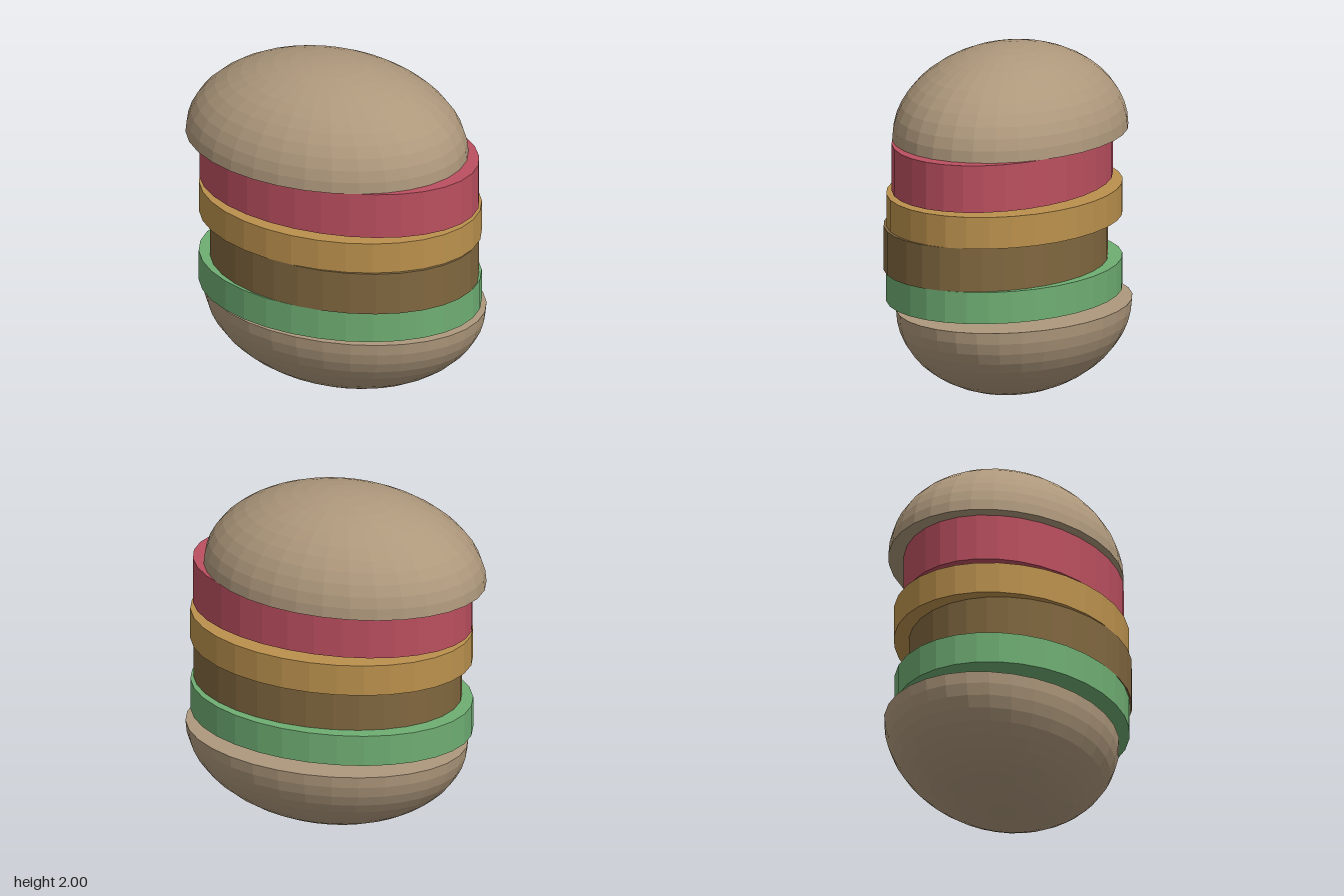
import * as THREE from 'three';

const SEGMENTS = 32;

function material(color) {
  return new THREE.MeshStandardMaterial({ color, flatShading: true });
}

// Elliptical slab spanning y0..y1
function slice(name, color, x, z, rx, rz, y0, y1) {
  const mesh = new THREE.Mesh(new THREE.CylinderGeometry(1, 1, 1, SEGMENTS), material(color));
  mesh.name = name;
  mesh.scale.set(rx, y1 - y0, rz);
  mesh.position.set(x, (y0 + y1) / 2, z);
  return mesh;
}

// Half ellipsoid with a flat cut face at height y; up = 1 for a dome, -1 for a bowl
function bun(name, color, x, z, rx, rz, y, height, up) {
  const group = new THREE.Group();
  group.name = name;
  const start = up > 0 ? 0 : Math.PI / 2;
  const crust = new THREE.Mesh(
    new THREE.SphereGeometry(1, SEGMENTS, 12, 0, Math.PI * 2, start, Math.PI / 2),
    material(color));
  crust.name = name + 'Crust';
  const cut = new THREE.Mesh(new THREE.CircleGeometry(1, SEGMENTS), material(color));
  cut.name = name + 'CutFace';
  cut.rotation.x = up * Math.PI / 2;
  group.add(crust, cut);
  group.scale.set(rx, height, rz);
  group.position.set(x, y, z);
  return group;
}

export function createModel() {
  const model = new THREE.Group();
  model.name = 'burger';
  const bread = 0xae987c;
  model.add(
    bun('bottomBun', bread, 0.04, -0.03, 0.845, 0.64, 0.515, 0.515, -1),
    slice('lettuce', 0x6fae73, 0.04, 0.033, 0.845, 0.64, 0.565, 0.75),
    slice('patty', 0x80673f, 0.083, 0.067, 0.803, 0.607, 0.75, 1.005),
    slice('cheese', 0xbb914d, 0.04, 0.031, 0.845, 0.64, 1.005, 1.19),
    slice('tomato', 0xbb4f5f, 0.04, 0.045, 0.845, 0.585, 1.215, 1.49),
    bun('topBun', bread, -0.045, 0.032, 0.845, 0.64, 1.49, 0.51, 1)
  );
  return model;
}
